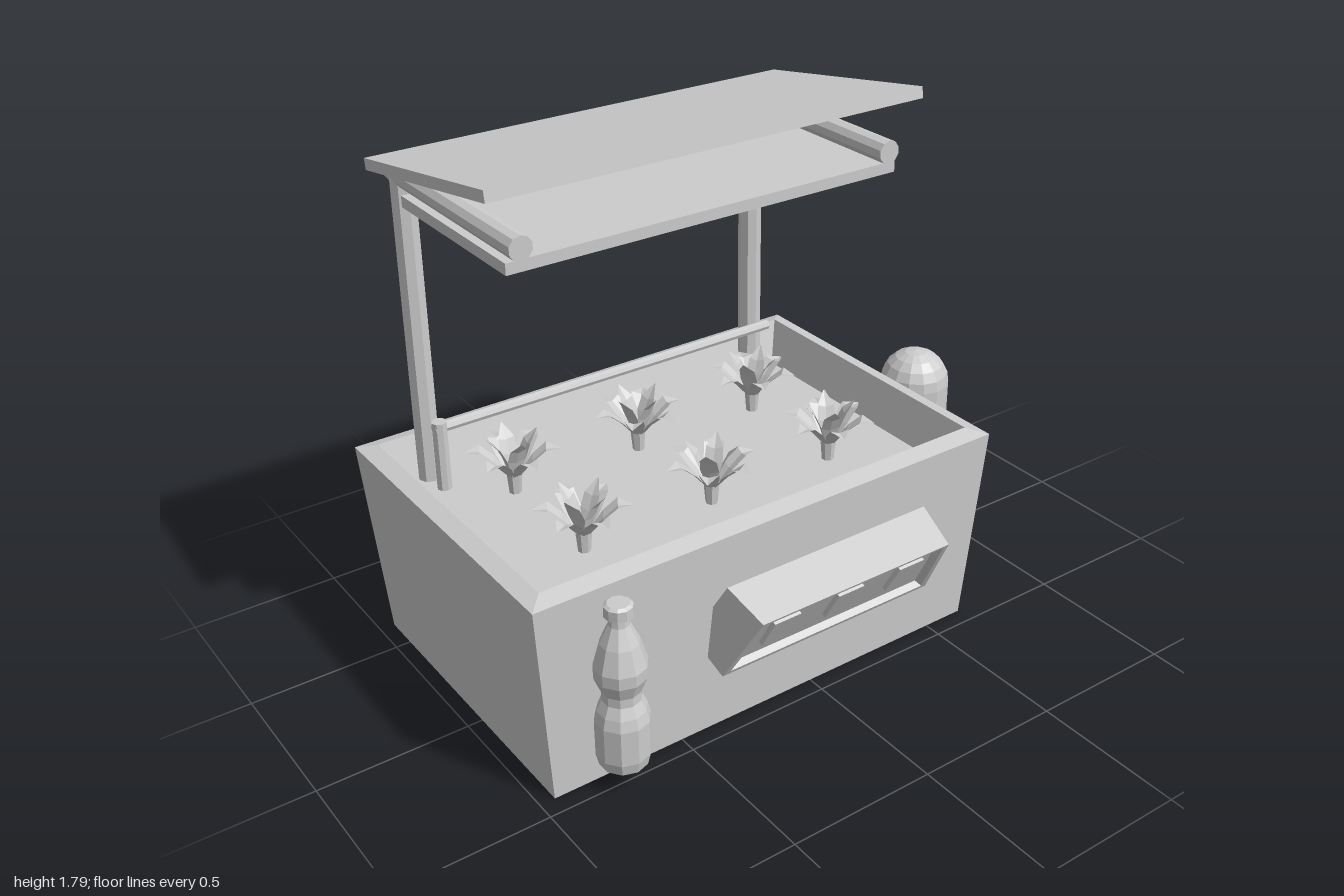
import * as THREE from 'three';

const grey = new THREE.MeshStandardMaterial({ color: 0xcccccc, flatShading: true, side: THREE.DoubleSide });
grey.name = 'light grey';

function add(parent, name, geometry, x = 0, y = 0, z = 0) {
  const mesh = new THREE.Mesh(geometry, grey);
  mesh.name = name;
  mesh.position.set(x, y, z);
  parent.add(mesh);
  return mesh;
}

// Skin a row of four-cornered rings and close both ends
function loft(rings) {
  const index = [0, 2, 1, 0, 3, 2];
  for (let r = 0; r < rings.length - 1; r++) {
    for (let i = 0; i < 4; i++) {
      const a = r * 4 + i, b = r * 4 + (i + 1) % 4;
      index.push(a, b, b + 4, a, b + 4, a + 4);
    }
  }
  const e = (rings.length - 1) * 4;
  index.push(e, e + 1, e + 2, e, e + 2, e + 3);
  const g = new THREE.BufferGeometry();
  g.setAttribute('position', new THREE.Float32BufferAttribute(rings.flat(2), 3));
  g.setIndex(index);
  const flat = g.toNonIndexed();
  flat.computeVertexNormals();
  return flat;
}

const lathe = (points, sides) => new THREE.LatheGeometry(points.map(p => new THREE.Vector2(...p)), sides);

// Cylinder lying along x or z
function rod(parent, name, axis, radius, length, sides, x, y, z) {
  const g = new THREE.CylinderGeometry(radius, radius, length, sides);
  if (axis === 'x') g.rotateZ(Math.PI / 2);
  else g.rotateX(Math.PI / 2);
  return add(parent, name, g, x, y, z);
}

// Folded leaf running out along +z; each section is [distance, height, half width]
function leafGeometry(sections) {
  const pos = [], index = [];
  sections.forEach(([d, h, w], i) => {
    pos.push(-w, h + w * 0.3, d, 0, h, d, w, h + w * 0.3, d);
    if (i === 0) return;
    for (const k of [0, 1]) {
      const a = (i - 1) * 3 + k;
      index.push(a, a + 3, a + 1, a + 1, a + 3, a + 4);
    }
  });
  const g = new THREE.BufferGeometry();
  g.setAttribute('position', new THREE.Float32BufferAttribute(pos, 3));
  g.setIndex(index);
  g.computeVertexNormals();
  return g;
}

export function createModel() {
  const model = new THREE.Group();
  model.name = 'planter';

  // Tapered tub: outer wall, bevelled rim, sloping inner wall and soil
  const level = (x0, x1, z0, z1, y) => [[x0, y, z1], [x1, y, z1], [x1, y, z0], [x0, y, z0]];
  add(model, 'tub', loft([
    level(-0.95, 0.645, -0.62, 0.44, 0),
    level(-1, 0.695, -0.655, 0.47, 0.69),
    level(-0.945, 0.64, -0.6, 0.412, 0.706),
    level(-0.9, 0.595, -0.555, 0.367, 0.56),
  ]));

  // Posts and the arms they carry
  for (const x of [-0.795, 0.49]) {
    add(model, 'post', new THREE.CylinderGeometry(0.04, 0.04, 1.06, 8), x, 1.09, -0.556);
    rod(model, 'arm', 'z', 0.038, 0.755, 10, x, 1.598, -0.223);
  }
  add(model, 'lampPanel', new THREE.BoxGeometry(1.365, 0.036, 0.62), -0.152, 1.54, -0.175);
  const canopy = add(model, 'canopy', new THREE.BoxGeometry(1.5, 0.036, 0.75), -0.15, 1.708, -0.2);
  canopy.rotation.x = -0.17;

  // Watering pipe along the back
  rod(model, 'wateringPipe', 'x', 0.018, 1.31, 8, -0.155, 0.778, -0.465);
  add(model, 'pipeRiser', new THREE.CylinderGeometry(0.025, 0.025, 0.24, 8), -0.79, 0.68, -0.465);

  // Two rows of three plants
  const outer = leafGeometry([[0.01, 0.05, 0.012], [0.06, 0.11, 0.03], [0.105, 0.15, 0.032], [0.15, 0.15, 0.002]]);
  const inner = leafGeometry([[0.008, 0.05, 0.012], [0.03, 0.12, 0.03], [0.05, 0.165, 0.027], [0.085, 0.21, 0.002]]);
  let turn = 0;
  for (const z of [0.11, -0.31]) {
    for (const x of [-0.62, -0.15, 0.32]) {
      const plant = new THREE.Group();
      plant.name = 'plant';
      plant.position.set(x, 0.56, z);
      plant.rotation.y = turn;
      turn += 0.35;
      add(plant, 'stem', new THREE.CylinderGeometry(0.026, 0.02, 0.07, 7), 0, 0.035, 0);
      for (let i = 0; i < 6; i++) add(plant, 'outerLeaf', outer).rotation.y = i * Math.PI / 3;
      for (let i = 0; i < 4; i++) add(plant, 'innerLeaf', inner).rotation.y = 0.4 + i * Math.PI / 2;
      model.add(plant);
    }
  }

  // Domed tank on the side with two pipe connections
  const dome = [0, 18, 36, 54, 72, 90].map(d => {
    const a = THREE.MathUtils.degToRad(d);
    return [0.121 * Math.cos(a), 0.598 + 0.118 * Math.sin(a)];
  });
  add(model, 'tank', lathe([[0, 0.2], [0.121, 0.2], ...dome], 14), 0.879, 0, -0.092);
  for (const y of [0.51, 0.28]) {
    rod(model, 'connector', 'x', 0.02, 0.14, 8, 0.715, y, -0.092);
    rod(model, 'connectorNut', 'x', 0.036, 0.026, 8, 0.698, y, -0.092);
  }

  // Bottle on the front wall
  add(model, 'bottle', lathe([
    [0, 0.1], [0.05, 0.088], [0.075, 0.092], [0.084, 0.13], [0.085, 0.25], [0.076, 0.285],
    [0.06, 0.32], [0.06, 0.35], [0.08, 0.4], [0.082, 0.44], [0.06, 0.515], [0.032, 0.575],
    [0.03, 0.6], [0.044, 0.604], [0.044, 0.638], [0.034, 0.645], [0, 0.645],
  ], 10), -0.748, 0, 0.503);

  // Tilted control panel with a sunken face and three buttons
  const panel = new THREE.Group();
  panel.name = 'controlPanel';
  panel.position.set(0.004, 0.365, 0.585);
  panel.rotation.x = 0.51;
  const frame = (wBottom, wTop, y0, y1, z) =>
    [[-wBottom, y0, z], [wBottom, y0, z], [wTop, y1, z], [-wTop, y1, z]];
  add(panel, 'housing', loft([
    frame(0.425, 0.383, -0.14, 0.122, -0.155),
    frame(0.405, 0.36, -0.143, 0.143, 0),
    frame(0.38, 0.343, -0.126, 0.132, 0),
    frame(0.365, 0.335, -0.118, 0.125, -0.022),
  ]));
  for (const x of [-0.242, 0, 0.242]) {
    add(panel, 'button', new THREE.BoxGeometry(0.098, 0.13, 0.02), x, 0.02, -0.016);
  }
  model.add(panel);

  return model;
}
